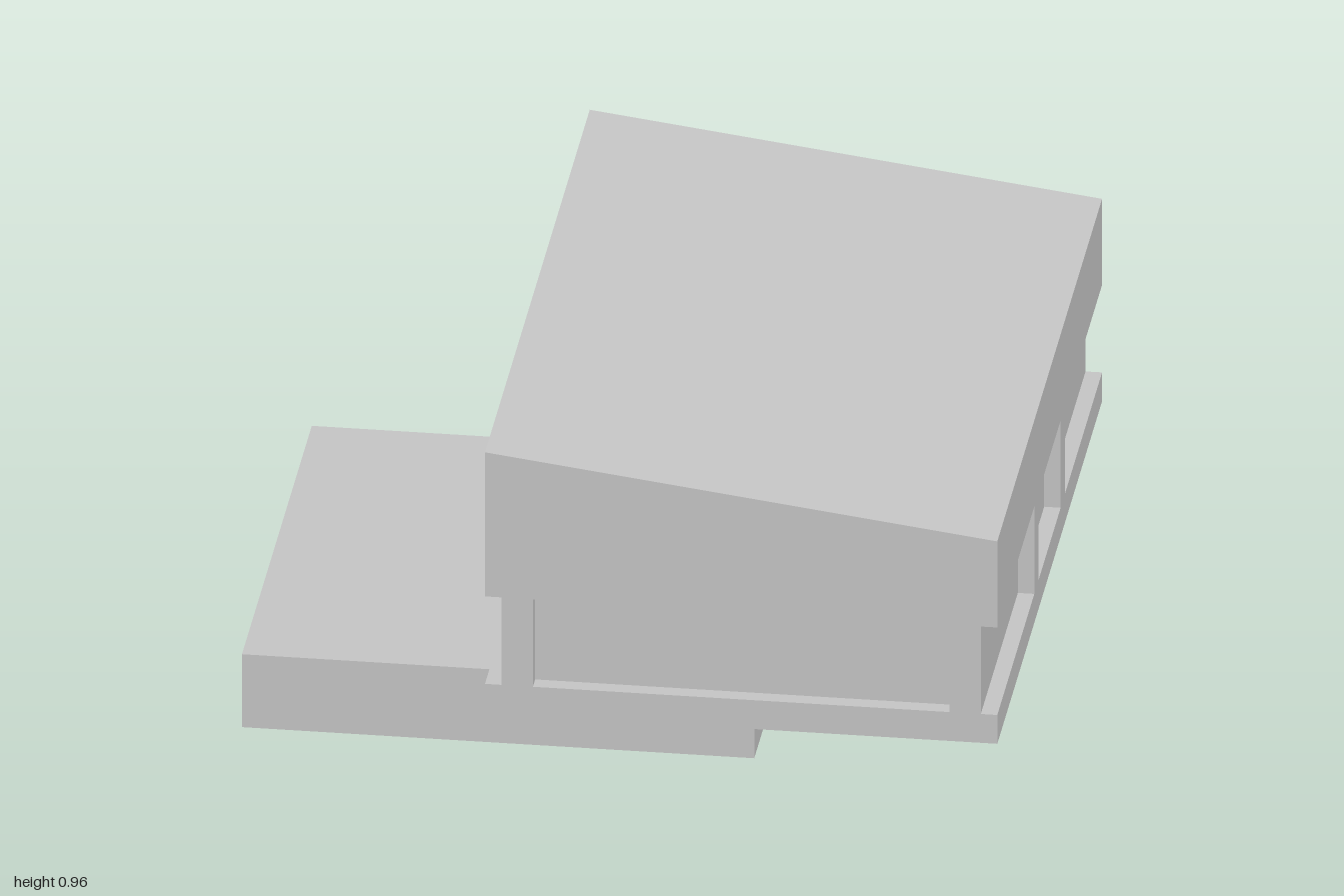
import * as THREE from 'three';

export function createModel() {
  const group = new THREE.Group();
  const grey = new THREE.MeshStandardMaterial({ color: 0xc4c4c4 });
  grey.name = 'plain grey';

  const add = (name, geometry, x, y, z) => {
    const mesh = new THREE.Mesh(geometry, grey);
    mesh.name = name;
    mesh.position.set(x, y, z);
    group.add(mesh);
  };
  const shapeOf = (points) => new THREE.Shape(points.map(([x, y]) => new THREE.Vector2(x, y)));
  const extrude = (points, depth) =>
    new THREE.ExtrudeGeometry(shapeOf(points), { depth, bevelEnabled: false });

  const centreX = 1 / 3, halfW = 2 / 3, recess = 0.043;
  const floorY = 0.21, sillY = 0.293, headY = 0.545;

  // Offset ground storey
  add('plinth', new THREE.BoxGeometry(4 / 3, floorY, 4 / 3), -1 / 3, floorY / 2, 0.083);

  // Solid strip below the windows
  add('sillBand', new THREE.BoxGeometry(halfW * 2, sillY - floorY, 2), centreX, (floorY + sillY) / 2, 0);

  // Window band: one quarter of its plan, mirrored round; side recesses run out at the corners
  const inX = halfW - recess;
  const quarter = [
    [inX, 0.21], [halfW, 0.21], [halfW, 0.293], [inX, 0.293],
    [inX, 1], [0.542, 1], [0.542, 1 - recess],
  ];
  const flip = (points, sx, sy) => points.map(([x, y]) => [x * sx, y * sy]);
  const back = [...quarter].reverse();
  const plan = [...quarter, ...flip(back, -1, 1), ...flip(quarter, -1, -1), ...flip(back, 1, -1)];
  const band = extrude(plan, headY - sillY);
  band.rotateX(-Math.PI / 2);
  add('windowBand', band, centreX, sillY, 0);

  // Upper wall with the sloping roof
  const roof = extrude([[-halfW, headY], [halfW, headY], [halfW, 0.793], [-halfW, 0.96]], 2);
  add('slopedRoof', roof, centreX, 0, -1);

  return group;
}
